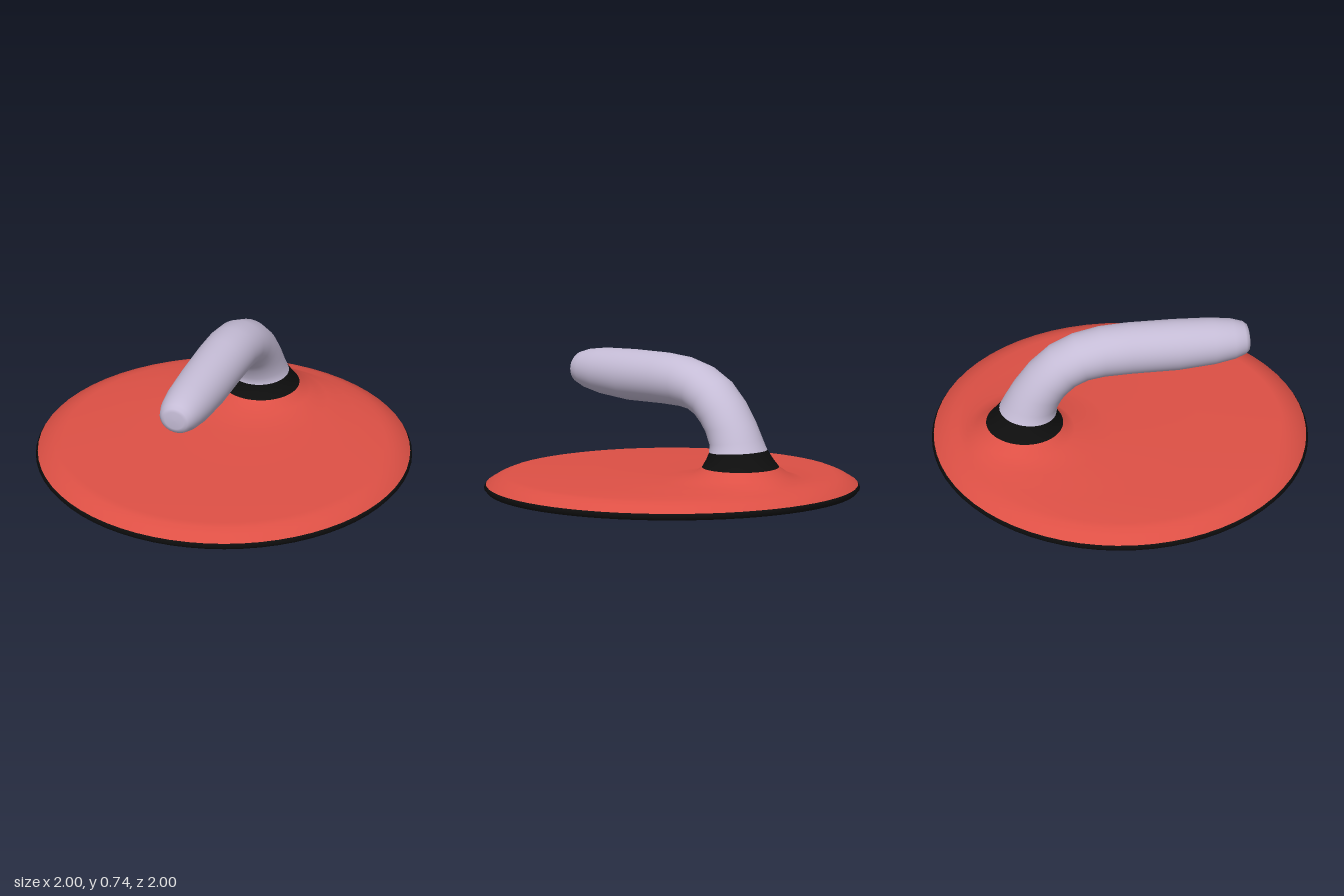
import * as THREE from 'three';

const SIDES = 64;

// Cross-sections of one continuous skin, from the rim up to the handle tip:
// [front/lower edge z, y, back/upper edge z, y, half width in x]
const flat = (centre, r, y) => [centre + r, y, centre - r, y, r];
const RINGS = [
  // rim
  flat(0, 0.985, 0), flat(0, 1, 0.018), flat(0, 0.99, 0.036),
  // lid
  flat(0, 0.94, 0.067), flat(0, 0.9, 0.084), flat(0, 0.86, 0.092),
  flat(-0.21, 0.63, 0.103), flat(-0.435, 0.385, 0.115),
  flat(-0.515, 0.265, 0.145), flat(-0.515, 0.205, 0.188),
  // collar
  [-0.33, 0.225, -0.685, 0.232, 0.178], [-0.345, 0.262, -0.65, 0.28, 0.157],
  // handle
  [-0.34, 0.3, -0.625, 0.335, 0.144], [-0.31, 0.36, -0.575, 0.425, 0.14],
  [-0.28, 0.395, -0.49, 0.54, 0.14], [-0.24, 0.43, -0.38, 0.64, 0.14],
  [-0.18, 0.457, -0.25, 0.702, 0.14], [-0.1, 0.467, -0.1, 0.733, 0.14],
  [0.05, 0.466, 0.05, 0.738, 0.14], [0.3, 0.456, 0.3, 0.728, 0.138],
  [0.5, 0.467, 0.5, 0.713, 0.129], [0.61, 0.485, 0.61, 0.695, 0.114],
  [0.67, 0.505, 0.67, 0.675, 0.094], [0.69, 0.522, 0.69, 0.658, 0.074],
  [0.695, 0.54, 0.695, 0.64, 0.055], [0.696, 0.59, 0.696, 0.59, 0],
];

// Faces joining a number of neighbouring rings
function ringFaces(count) {
  const index = [];
  for (let i = 0; i < count - 1; i++) {
    for (let j = 0; j < SIDES; j++) {
      const k = (j + 1) % SIDES;
      const a = i * SIDES + j, b = i * SIDES + k;
      index.push(a, b, b + SIDES, a, b + SIDES, a + SIDES);
    }
  }
  return index;
}

// The whole skin, so that shading runs smoothly across colour borders
function buildSkin() {
  const points = [];
  for (const [z0, y0, z1, y1, w] of RINGS) {
    for (let j = 0; j < SIDES; j++) {
      const t = (j / SIDES) * Math.PI * 2, c = Math.cos(t);
      points.push(
        w * Math.sin(t),
        (y0 + y1) / 2 + (c * (y0 - y1)) / 2,
        (z0 + z1) / 2 + (c * (z0 - z1)) / 2,
      );
    }
  }
  const skin = new THREE.BufferGeometry();
  skin.setAttribute('position', new THREE.Float32BufferAttribute(points, 3));
  skin.setIndex(ringFaces(RINGS.length));
  skin.computeVertexNormals();
  return skin;
}

export function createModel() {
  const group = new THREE.Group();
  group.name = 'panLid';
  const material = (name, color) =>
    Object.assign(new THREE.MeshStandardMaterial({ color, side: THREE.DoubleSide }), { name });
  const red = material('red enamel', 0xdd5045);
  const black = material('black trim', 0x0e0e0e);
  const lilac = material('pale lilac', 0xc5bcd6);

  const skin = buildSkin();
  const addPart = (name, first, last, mat) => {
    const geometry = new THREE.BufferGeometry();
    for (const key of ['position', 'normal']) {
      const part = skin.attributes[key].array.slice(first * SIDES * 3, (last + 1) * SIDES * 3);
      geometry.setAttribute(key, new THREE.BufferAttribute(part, 3));
    }
    geometry.setIndex(ringFaces(last - first + 1));
    const mesh = new THREE.Mesh(geometry, mat);
    mesh.name = name;
    group.add(mesh);
  };

  addPart('rim', 0, 2, black);
  addPart('lid', 2, 9, red);
  addPart('collar', 9, 11, black);
  addPart('handle', 11, RINGS.length - 1, lilac);
  return group;
}
